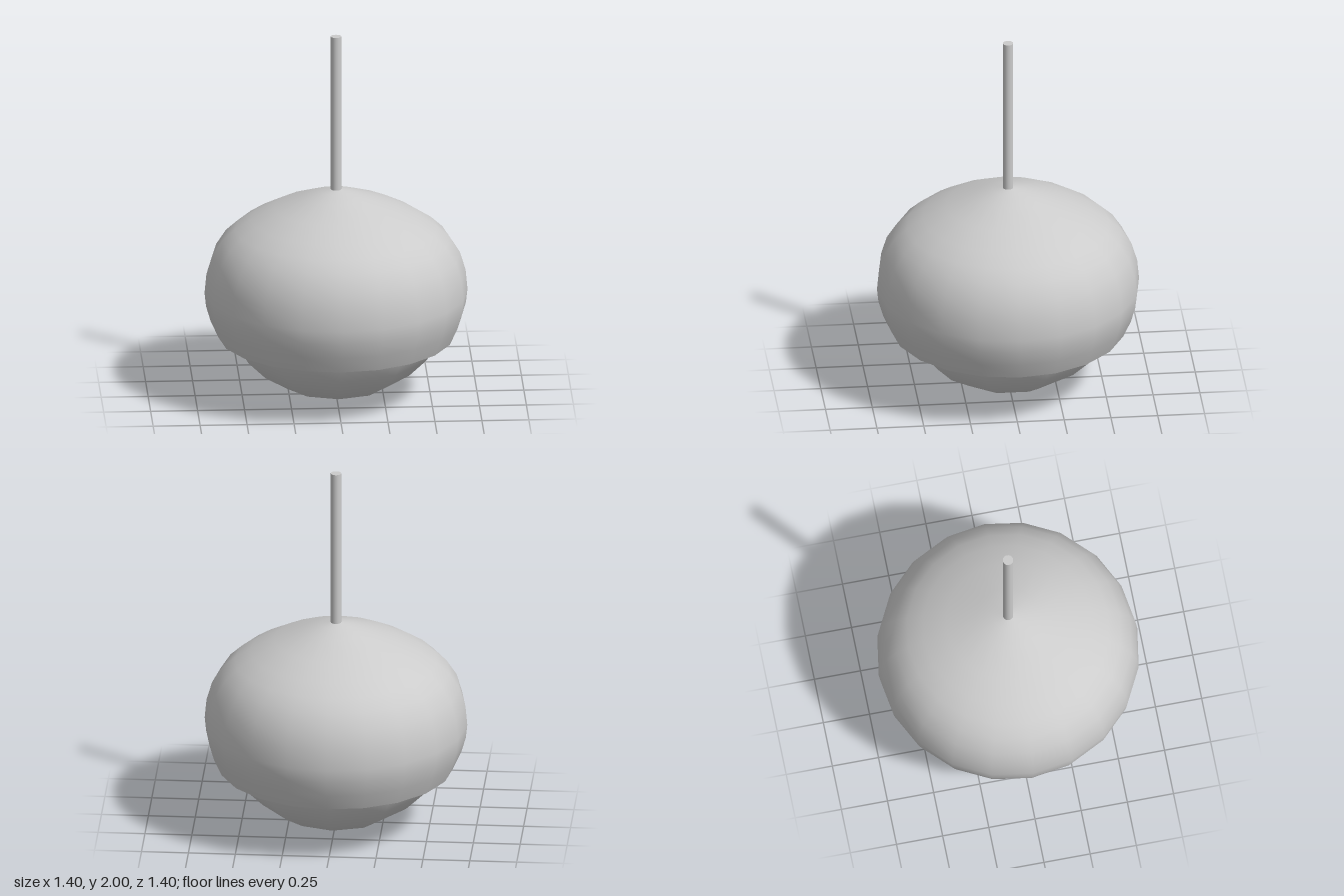
import * as THREE from 'three';

const material = new THREE.MeshStandardMaterial({ color: 0xcccccc });

// Surface of revolution from [radius, height] pairs
function lathe(name, pairs, sides) {
  const points = pairs.map(([r, y]) => new THREE.Vector2(r, y));
  const mesh = new THREE.Mesh(new THREE.LatheGeometry(points, sides), material);
  mesh.name = name;
  return mesh;
}

export function createModel() {
  const model = new THREE.Group();
  model.name = 'pendantLamp';

  // Shade: outer skin, inner skin and the flat rim between them
  const outer = [
    [0.626, 0.325], [0.667, 0.415], [0.692, 0.5], [0.7, 0.575], [0.69, 0.68],
    [0.66, 0.78], [0.605, 0.865], [0.54, 0.925], [0.456, 0.98], [0.33, 1.045],
    [0.17, 1.105], [0.08, 1.135], [0, 1.15],
  ];
  const inner = [
    [0, 1.115], [0.16, 1.07], [0.315, 1.01], [0.435, 0.95], [0.575, 0.84],
    [0.627, 0.765], [0.655, 0.67], [0.665, 0.575], [0.657, 0.5], [0.632, 0.415],
    [0.59, 0.325],
  ];
  const shade = new THREE.Group();
  shade.name = 'shade';
  shade.add(
    lathe('shadeOuter', outer, 20),
    lathe('shadeInner', inner, 20),
    lathe('shadeRim', [[0.59, 0.325], [0.626, 0.325]], 20),
  );
  model.add(shade);

  // Globe: slightly flattened ball with ten sides, kept inside the shade
  const globeProfile = [];
  const rings = 13;
  for (let i = 0; i <= rings; i++) {
    const a = (i / rings) * Math.PI;
    globeProfile.push([0.605 * Math.sin(a), 0.525 - 0.525 * Math.cos(a)]);
  }
  model.add(lathe('globe', globeProfile, 10));

  // Hanging rod
  const rod = new THREE.Mesh(new THREE.CylinderGeometry(0.028, 0.028, 0.88, 20), material);
  rod.name = 'rod';
  rod.position.y = 1.56;
  model.add(rod);

  return model;
}
